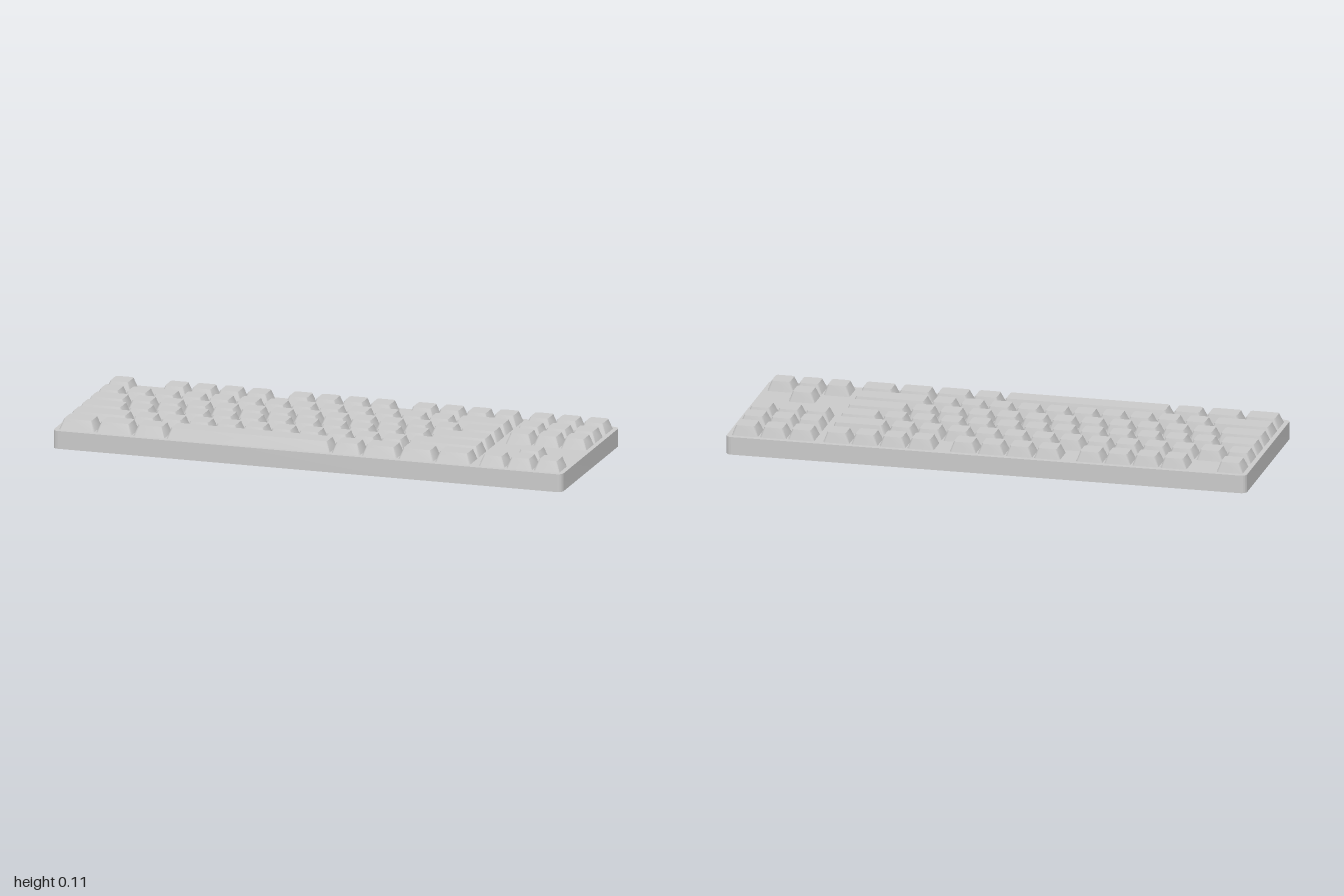
import * as THREE from 'three';
import { toCreasedNormals } from 'three/addons/utils/BufferGeometryUtils.js';

const U = 0.108;            // key pitch
const GAP = 0.007;          // space between neighbouring keys
const LEFT = -18.25 * U / 2; // left edge of the key field
const CASE_H = 0.069, KEY_H = 0.039;

const material = new THREE.MeshStandardMaterial({ color: 0xcccccc });

function roundedRect(w, d, r) {
  const x = w / 2, y = d / 2, s = new THREE.Shape();
  s.moveTo(-x + r, -y);
  s.lineTo(x - r, -y);
  s.absarc(x - r, -y + r, r, -Math.PI / 2, 0);
  s.lineTo(x, y - r);
  s.absarc(x - r, y - r, r, 0, Math.PI / 2);
  s.lineTo(-x + r, y);
  s.absarc(-x + r, y - r, r, Math.PI / 2, Math.PI);
  s.lineTo(-x, -y + r);
  s.absarc(-x + r, -y + r, r, Math.PI, Math.PI * 1.5);
  return s;
}

// Upright rounded slab standing on y = 0
function slab(w, d, h, r, segments) {
  const g = new THREE.ExtrudeGeometry(roundedRect(w, d, r), { depth: h, bevelEnabled: false, curveSegments: segments });
  return g.rotateX(-Math.PI / 2);
}

// Keycap: slab whose top is drawn in, more at the front than at the back
function keyGeometry(units) {
  const g = slab(units * U - GAP, U - GAP, KEY_H, 0.01, 4);
  const p = g.attributes.position;
  for (let i = 0; i < p.count; i++) {
    if (p.getY(i) < KEY_H / 2) continue;
    p.setX(i, p.getX(i) - Math.sign(p.getX(i)) * 0.015);
    p.setZ(i, p.getZ(i) - (p.getZ(i) > 0 ? 0.017 : -0.008));
  }
  return toCreasedNormals(g, 0.6);
}

export function createModel() {
  const model = new THREE.Group();
  model.name = 'keyboard';

  const body = new THREE.Mesh(toCreasedNormals(slab(2, 0.698, CASE_H, 0.022, 8), 0.6), material);
  body.name = 'case';
  model.add(body);

  const ones = n => Array(n).fill(1);
  // Each run: [start in key units, key widths]
  const nav = [15.25, ones(3)];
  const rows = [
    { name: 'functionRow', z: -0.278, runs: [[0, [1]], [2, ones(4)], [6.5, ones(4)], [11, ones(4)], nav] },
    { name: 'numberRow', z: -0.155, runs: [[0, [...ones(13), 2]], nav] },
    { name: 'upperLetterRow', z: -0.047, runs: [[0, [1.5, ...ones(12), 1.5]], nav] },
    { name: 'homeRow', z: 0.061, runs: [[0, [1.75, ...ones(11), 2.25]]] },
    { name: 'shiftRow', z: 0.169, runs: [[0, [2.25, ...ones(10), 2.75]], [16.25, [1]]] },
    { name: 'spaceRow', z: 0.277, runs: [[0, [1.35, 1.35, 1.2, 6, 1.1, 1.33, 1.33, 1.34]], nav] },
  ];

  const cache = new Map();
  for (const { name, z, runs } of rows) {
    const row = new THREE.Group();
    row.name = name;
    row.position.set(LEFT, CASE_H, z);
    for (const [start, widths] of runs) {
      let at = start;
      for (const w of widths) {
        if (!cache.has(w)) cache.set(w, keyGeometry(w));
        const key = new THREE.Mesh(cache.get(w), material);
        key.name = w === 6 ? 'spaceBar' : 'key';
        key.position.x = (at + w / 2) * U;
        row.add(key);
        at += w;
      }
    }
    model.add(row);
  }
  return model;
}
